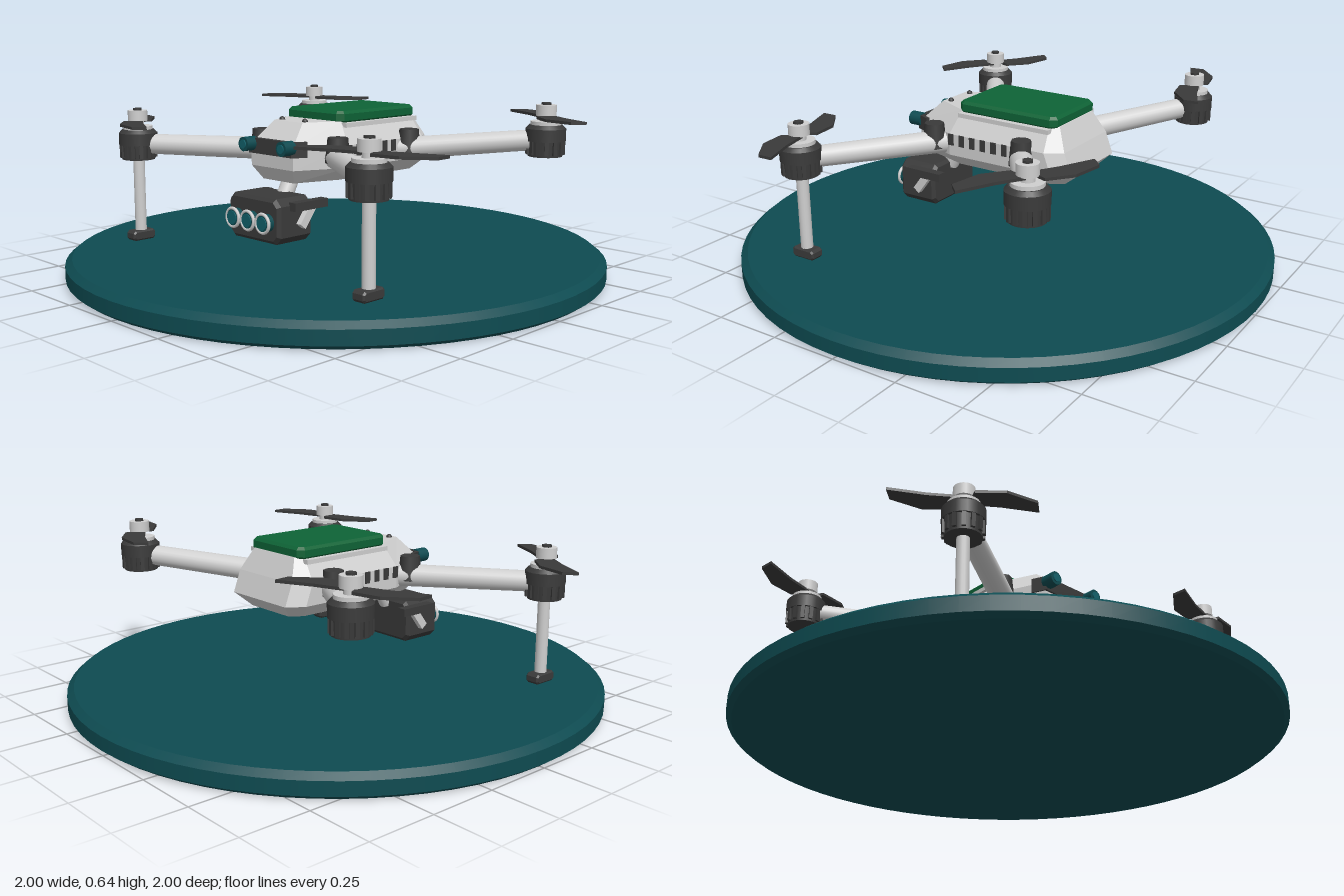
import * as THREE from 'three';

const mat = (name, color, extra = {}) => Object.assign(new THREE.MeshStandardMaterial({ color, ...extra }), { name });

export function createModel() {
  const root = new THREE.Group();
  root.name = 'quadcopterOnStand';
  const shell = mat('lightGrey', 0xcfcfcf);
  const shellFlat = shell;
  const dark = mat('charcoal', 0x3a3a3a);
  const teal = mat('standTeal', 0x0e4b51);
  const lensTeal = mat('lensTeal', 0x12616b);
  const green = mat('batteryGreen', 0x0e6336);

  const add = (parent, name, geo, material, x = 0, y = 0, z = 0) => {
    const m = new THREE.Mesh(geo, material);
    m.name = name;
    m.position.set(x, y, z);
    parent.add(m);
    return m;
  };
  const box = (w, h, d) => new THREE.BoxGeometry(w, h, d);
  const cyl = (rt, rb, h, n = 24) => new THREE.CylinderGeometry(rt, rb, h, n);
  // Cylinder running between two points
  const rod = (parent, name, a, b, ra, rb, material) => {
    const d = b.clone().sub(a);
    const m = add(parent, name, cyl(rb, ra, d.length()), material);
    m.position.copy(a).addScaledVector(d, 0.5);
    m.quaternion.setFromUnitVectors(new THREE.Vector3(0, 1, 0), d.normalize());
    return m;
  };
  // Box with chamfered outline and edges, thickness along local z
  const chamferBox = (w, h, d, c, bevel) => {
    const x = w / 2 - bevel, y = h / 2 - bevel;
    const s = new THREE.Shape([[x - c, -y], [x, c - y], [x, y - c], [x - c, y], [c - x, y], [-x, y - c], [-x, c - y], [c - x, -y]]
      .map(p => new THREE.Vector2(...p)));
    return new THREE.ExtrudeGeometry(s, { depth: d - 2 * bevel, bevelThickness: bevel, bevelSize: bevel, bevelSegments: 1 })
      .translate(0, 0, bevel - d / 2);
  };

  // Round stand with chamfered rims
  const stand = new THREE.Group();
  stand.name = 'stand';
  root.add(stand);
  add(stand, 'standBottom', cyl(1, 0.98, 0.015, 72), teal, 0, 0.0075);
  add(stand, 'standSide', new THREE.CylinderGeometry(1, 1, 0.05, 72, 1, true), teal, 0, 0.04);
  add(stand, 'standTop', cyl(0.975, 1, 0.02, 72), teal, 0, 0.075);

  // Faceted hull: stacked outlines [y, half width, front half width, front z, shoulder z, rear z, rear chamfer]
  const rings = [
    [0.365, 0.135, 0.08, 0.29, 0.12, -0.31, 0.03],
    [0.415, 0.19, 0.11, 0.32, 0.13, -0.36, 0.04],
    [0.495, 0.19, 0.11, 0.32, 0.13, -0.33, 0.04],
    [0.575, 0.135, 0.075, 0.24, 0.11, -0.29, 0.02],
  ].map(([y, w, wf, zf, zs, zr, c]) => {
    const half = [[wf, zf], [w, zs], [w, zr + c * 1.5], [w - c, zr]];
    return [...half, ...half.map(([x, z]) => [-x, z]).reverse()].map(([x, z]) => [x, y, z]);
  });
  const tris = [];
  rings.slice(1).forEach((up, r) => up.forEach((d, i) => {
    const j = (i + 1) % 8, a = rings[r][i], b = rings[r][j];
    tris.push(a, b, up[j], a, up[j], d);
  }));
  for (let i = 1; i < 7; i++) {
    tris.push(rings[3][0], rings[3][i], rings[3][i + 1], rings[0][0], rings[0][i + 1], rings[0][i]);
  }
  const hull = new THREE.BufferGeometry();
  hull.setAttribute('position', new THREE.Float32BufferAttribute(tris.flat(), 3));
  hull.computeVertexNormals();
  add(root, 'hull', hull, shellFlat);

  // Battery on the top deck
  add(root, 'battery', chamferBox(0.29, 0.41, 0.045, 0.015, 0.01), green, 0, 0.588, -0.082).rotation.x = -Math.PI / 2;

  // Front visor with two round sensors
  add(root, 'visor', box(0.21, 0.055, 0.02), dark, 0, 0.488, 0.317);
  for (const s of [-1, 1]) {
    const cheek = add(root, 'visorCheek', box(0.012, 0.055, 0.06), dark, s * 0.118, 0.488, 0.3);
    cheek.rotation.y = -s * 0.4;
    add(root, 'sensor', cyl(0.026, 0.026, 0.05, 16), teal, s * 0.1, 0.495, 0.342).rotation.x = Math.PI / 2;
    add(root, 'sensorLens', cyl(0.016, 0.016, 0.006, 16), lensTeal, s * 0.1, 0.495, 0.368).rotation.x = Math.PI / 2;
    add(root, 'sideRail', box(0.025, 0.016, 0.38), shell, s * 0.15, 0.562, -0.08);
    add(root, 'deckKnob', new THREE.SphereGeometry(0.011, 10, 8), dark, s * 0.06, 0.576, 0.215);
    for (let i = 0; i < 6; i++) {
      add(root, 'sideVent', box(0.008, 0.042, 0.022), dark, s * 0.19, 0.475, 0.122 - i * 0.046);
    }
  }

  // Propeller blade outline, pointing along +x
  const blade = new THREE.ExtrudeGeometry(new THREE.Shape(
    [[0.015, -0.02], [0.12, -0.018], [0.25, -0.03], [0.237, 0.023], [0.13, 0.066], [0.03, 0.053]].map(p => new THREE.Vector2(...p))),
    { depth: 0.01, bevelEnabled: false }).rotateX(Math.PI / 2);

  // Arms, motors and propellers: [side, motor z, motor base y, hinge z, propeller angle]
  for (const [s, mz, base, hz, angle] of [
    [1, 0.465, 0.4, 0.19, -0.28], [-1, 0.465, 0.4, 0.19, 0.59],
    [1, -0.47, 0.44, -0.185, 0.53], [-1, -0.47, 0.44, -0.185, -0.35],
  ]) {
    const front = mz > 0;
    add(root, 'armHinge', cyl(0.036, 0.045, 0.09, 8), dark, s * 0.2, 0.485, hz);
    rod(root, 'arm', new THREE.Vector3(s * 0.17, 0.455, hz - Math.sign(mz) * 0.02),
      new THREE.Vector3(s * 0.585, base + 0.06, mz * 0.965), 0.042, 0.038, shell);

    const motor = new THREE.Group();
    motor.name = 'motor';
    motor.position.set(s * 0.61, base, mz);
    root.add(motor);
    add(motor, 'motorCan', cyl(0.066, 0.062, 0.065), dark, 0, 0.033);
    add(motor, 'motorBand', cyl(0.073, 0.073, 0.045), dark, 0, 0.08);
    add(motor, 'motorCrown', cyl(0.06, 0.073, 0.014), dark, 0, 0.109);
    add(motor, 'motorRing', cyl(0.055, 0.055, 0.014), shell, 0, 0.122);
    for (let i = 0; i < 14; i++) {
      const a = i * Math.PI / 7;
      add(motor, 'coolingFin', box(0.012, 0.052, 0.014), dark, Math.cos(a) * 0.065, 0.034, Math.sin(a) * 0.065).rotation.y = -a;
    }
    add(motor, 'hub', cyl(0.037, 0.037, 0.04), shell, 0, 0.168);
    add(motor, 'hubStem', cyl(0.024, 0.024, 0.04, 16), shell, 0, 0.135);
    add(motor, 'hubCap', cyl(0.018, 0.018, 0.01, 6), dark, 0, 0.191);
    for (const turn of [0, Math.PI]) {
      add(motor, 'propellerBlade', blade, dark, 0, 0.15, 0).rotation.y = turn - angle;
    }

    // Landing legs stand under the front motors only
    if (front) {
      add(root, 'landingLeg', cyl(0.022, 0.022, 0.3, 16), shell, s * 0.61, 0.255, mz);
      add(root, 'foot', chamferBox(0.1, 0.038, 0.054, 0.006, 0.006), dark, s * 0.61, 0.104, mz).rotation.y = Math.PI / 2;
    }
  }

  // Hanging camera
  const camera = new THREE.Group();
  camera.name = 'gimbalCamera';
  root.add(camera);
  rod(camera, 'neck', new THREE.Vector3(0, 0.375, 0.225), new THREE.Vector3(0, 0.3, 0.265), 0.03, 0.03, shell);
  add(camera, 'cameraBody', chamferBox(0.27, 0.16, 0.16, 0.018, 0.012), dark, 0, 0.246, 0.33);
  for (const s of [-1, 1]) {
    add(camera, 'yokeRail', box(0.035, 0.03, 0.155), dark, s * 0.146, 0.298, 0.28);
    const strut = add(camera, 'yokeArm', box(0.022, 0.095, 0.03), shell, s * 0.147, 0.263, 0.289);
    strut.rotation.x = -0.65;
  }
  for (const x of [-0.08, 0, 0.08]) {
    add(camera, 'lensBarrel', cyl(0.031, 0.031, 0.035), teal, x, 0.242, 0.422).rotation.x = Math.PI / 2;
    add(camera, 'lensRing', new THREE.TorusGeometry(0.033, 0.006, 8, 24), shell, x, 0.242, 0.436);
    add(camera, 'lensGlass', cyl(0.024, 0.024, 0.006), lensTeal, x, 0.242, 0.44).rotation.x = Math.PI / 2;
  }
  return root;
}
